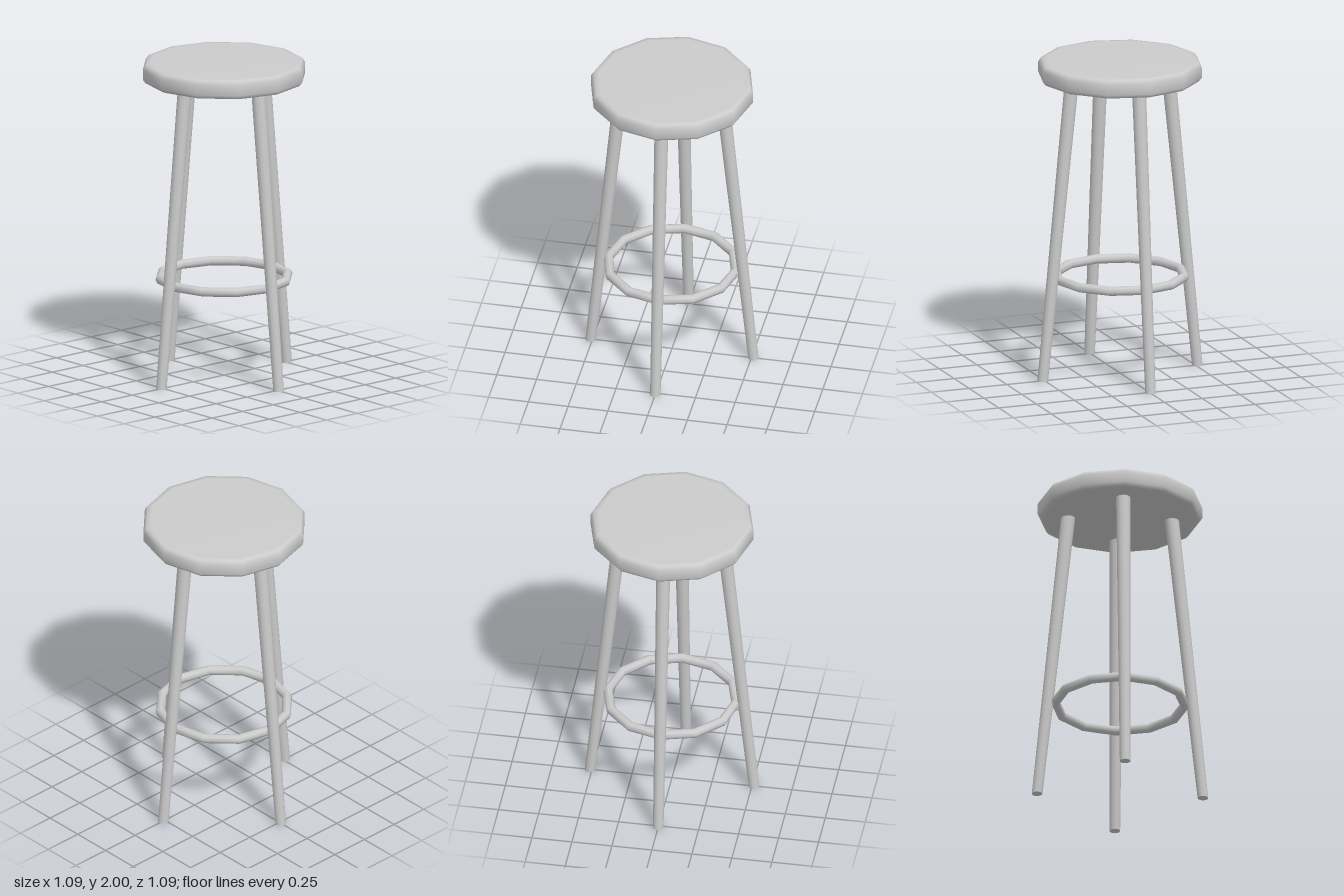
import * as THREE from 'three';

const material = new THREE.MeshStandardMaterial({ color: 0xcccccc });

function addMesh(parent, name, geometry) {
  const mesh = new THREE.Mesh(geometry, material);
  mesh.name = name;
  parent.add(mesh);
  return mesh;
}

// Tapered leg sheared outwards along +x, so both ends stay level
function legGeometry(topX, footX, topRadius, footRadius, height) {
  const geometry = new THREE.CylinderGeometry(topRadius, footRadius, height, 12);
  geometry.translate(0, height / 2, 0);
  const shear = new THREE.Matrix4().set(
    1, (topX - footX) / height, 0, footX,
    0, 1, 0, 0,
    0, 0, 1, 0,
    0, 0, 0, 1
  );
  return geometry.applyMatrix4(shear);
}

export function createModel() {
  const stool = new THREE.Group();
  stool.name = 'stool';

  // Twelve-sided seat with softened rims
  const profile = [
    [0, 1.88], [0.46, 1.88], [0.492, 1.882], [0.51, 1.905],
    [0.51, 1.97], [0.492, 1.997], [0.46, 2], [0, 2],
  ].map(([r, y]) => new THREE.Vector2(r, y));
  addMesh(stool, 'seat', new THREE.LatheGeometry(profile, 12));

  // Four splayed legs
  const leg = legGeometry(0.32, 0.512, 0.044, 0.033, 1.89);
  ['leftLeg', 'backLeg', 'rightLeg', 'frontLeg'].forEach((name, i) => {
    addMesh(stool, name, leg).rotation.y = (i * Math.PI) / 2;
  });

  // Foot ring inside the legs
  const ring = new THREE.TorusGeometry(0.4, 0.03, 8, 12);
  ring.rotateX(Math.PI / 2);
  addMesh(stool, 'footRing', ring).position.y = 0.628;

  return stool;
}
